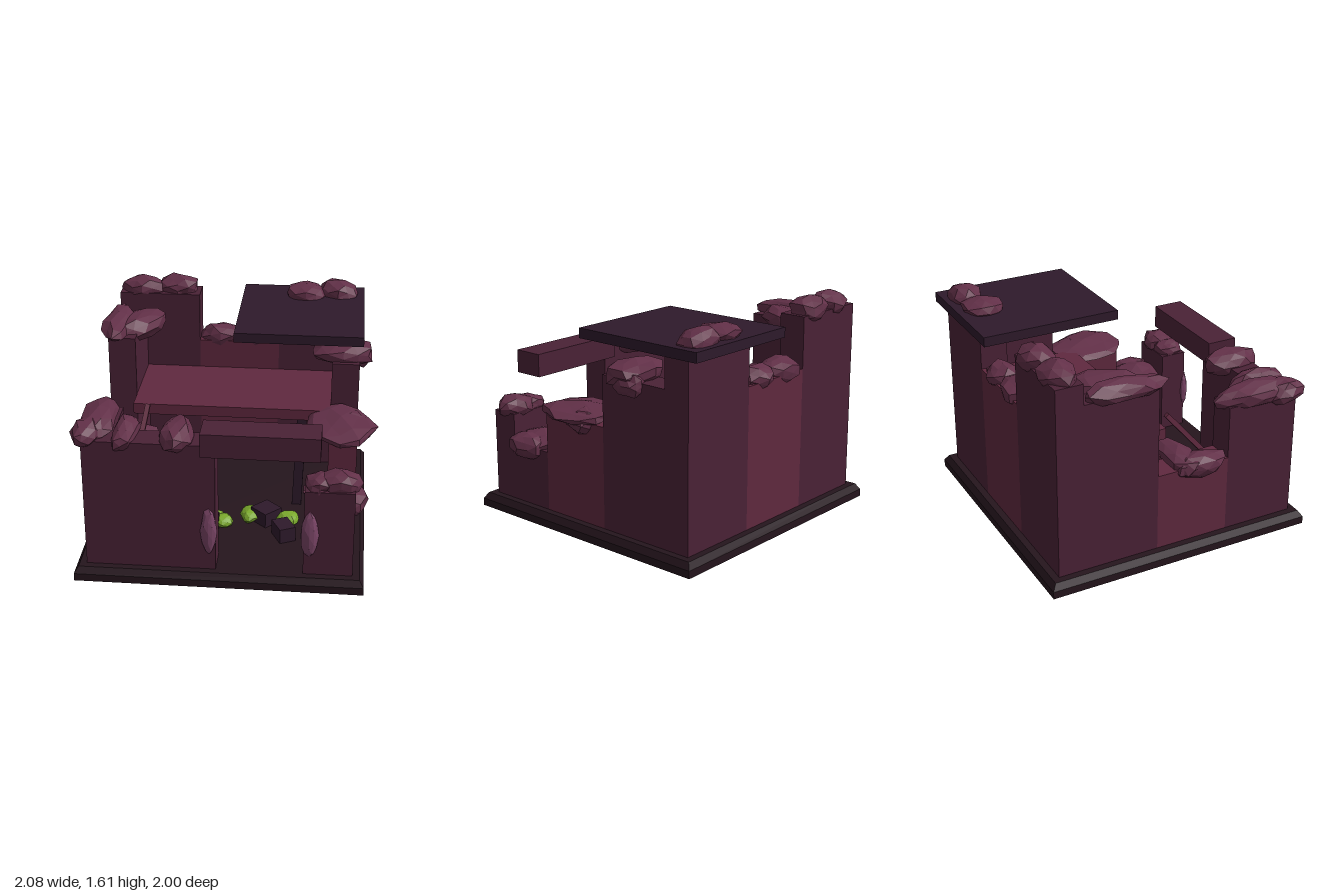
import * as THREE from 'three';

const mat = (color) => new THREE.MeshStandardMaterial({ color, flatShading: true });
const M = {
  wall: mat(0x4a2236), pale: mat(0x60293f), dark: mat(0x2e1a2b), base: mat(0x25151d),
  rubble: mat(0x623048), crystal: mat(0x7a4566), moss: mat(0x7aa82c),
};

export function createModel() {
  const model = new THREE.Group();
  const add = (name, geo, material, x = 0, y = 0, z = 0) => {
    const mesh = new THREE.Mesh(geo, material);
    mesh.name = name;
    mesh.position.set(x, y, z);
    model.add(mesh);
    return mesh;
  };

  // Block given by its x, y and z limits
  const block = (name, material, x0, x1, y0, y1, z0, z1) =>
    add(name, new THREE.BoxGeometry(x1 - x0, y1 - y0, z1 - z0), material,
      (x0 + x1) / 2, (y0 + y1) / 2, (z0 + z1) / 2);

  // Irregular faceted stone: a sphere whose corners are pushed in or out
  let seed = 1;
  const stone = (name, material, x, y, z, rx, ry, rz, turn = 0, rough = 0.28) => {
    const geo = new THREE.IcosahedronGeometry(1, 1);
    const p = geo.attributes.position, v = new THREE.Vector3();
    seed += 1;
    for (let i = 0; i < p.count; i++) {
      v.fromBufferAttribute(p, i);
      const n = Math.sin(Math.round(v.x * 50) * 12.9 + Math.round(v.y * 50) * 78.2
        + Math.round(v.z * 50) * 37.7 + seed * 4.1) * 43758.5;
      v.multiplyScalar(1.1 - rough * (n - Math.floor(n)));
      p.setXYZ(i, v.x * rx, v.y * ry, v.z * rz);
    }
    geo.computeVertexNormals();
    add(name, geo, material, x, y, z).rotation.y = turn;
  };

  // Square beam between two points
  const beam = (name, material, a, b, width) => {
    const from = new THREE.Vector3(...a), to = new THREE.Vector3(...b);
    const dir = to.clone().sub(from);
    const mid = from.add(to).multiplyScalar(0.5);
    const mesh = add(name, new THREE.BoxGeometry(width, dir.length(), width), material, mid.x, mid.y, mid.z);
    mesh.quaternion.setFromUnitVectors(new THREE.Vector3(0, 1, 0), dir.normalize());
  };

  // Base plate with a bevelled rim
  block('basePlate', M.base, -1, 1, 0, 0.055, -1, 1);
  const rim = new THREE.CylinderGeometry(0.97 * Math.SQRT2, Math.SQRT2, 0.045, 4);
  rim.rotateY(Math.PI / 4);
  add('baseRim', rim, M.base, 0, 0.0775, 0);

  // Broken walls, in sections of different height
  block('backWallLeft', M.wall, -0.92, -0.31, 0.1, 1.49, -0.92, -0.72);
  block('backWallMiddle', M.pale, -0.31, 0.3, 0.1, 1.12, -0.92, -0.72);
  block('backWallRight', M.wall, 0.3, 0.92, 0.1, 1.488, -0.92, -0.72);
  block('leftWallBack', M.wall, -0.92, -0.72, 0.1, 1.34, -0.72, -0.17);
  block('leftWallMiddle', M.pale, -0.92, -0.72, 0.1, 0.67, -0.17, 0.38);
  block('leftWallFront', M.wall, -0.92, -0.72, 0.1, 1.05, 0.38, 0.72);
  block('rightWallBack', M.wall, 0.72, 0.92, 0.1, 1.2, -0.72, -0.17);
  block('rightWallMiddle', M.pale, 0.72, 0.92, 0.1, 0.83, -0.17, 0.38);
  block('rightWallFront', M.wall, 0.72, 0.92, 0.1, 0.53, 0.38, 0.72);
  block('frontWall', M.wall, -0.92, -0.02, 0.1, 1.05, 0.72, 0.92);
  block('frontPillar', M.wall, 0.58, 0.92, 0.1, 0.74, 0.72, 0.92);
  block('lintel', M.wall, -0.12, 0.68, 0.97, 1.14, 0.705, 0.93);

  // Upper floor, roof remnant and stairs
  block('upperFloor', M.pale, -0.72, 0.72, 0.82, 0.9, -0.72, 0);
  block('roofSlab', M.dark, 0.02, 0.94, 1.42, 1.49, -1, 0.02);
  for (let i = 0; i < 3; i++) {
    block('stairStep', M.pale, -0.72, -0.41, 0.1, 0.64 - i * 0.18, i * 0.167, (i + 1) * 0.167);
  }
  beam('leaningPole', M.pale, [-0.7, 0.3, 0.6], [-0.6, 0.93, 0.07], 0.035);
  beam('floorPost', M.dark, [0.49, 0.1, -0.06], [0.515, 0.82, -0.06], 0.07);

  // Rubble along the wall tops: centre, radii, turn
  [
    [-0.75, 1.5, -0.82, 0.17, 0.1, 0.13], [-0.48, 1.51, -0.84, 0.16, 0.1, 0.13],
    [-0.15, 1.13, -0.83, 0.17, 0.1, 0.13], [0.12, 1.14, -0.83, 0.15, 0.09, 0.13],
    [0.5, 1.5, -0.82, 0.15, 0.09, 0.15], [0.74, 1.5, -0.85, 0.16, 0.1, 0.13],
    [-0.88, 1.37, -0.42, 0.12, 0.08, 0.32], [-0.72, 1.34, -0.48, 0.15, 0.1, 0.27, -0.45],
    [0.8, 1.23, -0.36, 0.24, 0.1, 0.2], [0.92, 1.18, -0.42, 0.09, 0.09, 0.13],
    [0.8, 0.86, 0.14, 0.25, 0.07, 0.31], [0.87, 0.82, 0.05, 0.13, 0.1, 0.14],
    [0.76, 0.54, 0.58, 0.23, 0.09, 0.2], [0.9, 0.53, 0.6, 0.11, 0.1, 0.17],
    [0.82, 0.77, 0.81, 0.14, 0.09, 0.12], [0.68, 0.76, 0.82, 0.11, 0.07, 0.11],
    [-0.84, 1.08, 0.62, 0.13, 0.09, 0.32], [-0.9, 1.07, 0.83, 0.1, 0.1, 0.17],
    [-0.64, 1.05, 0.78, 0.1, 0.1, 0.22], [-0.29, 1.06, 0.78, 0.12, 0.1, 0.21],
    [-0.76, 0.69, 0.07, 0.25, 0.08, 0.12], [-0.88, 0.67, 0.17, 0.12, 0.09, 0.22],
  ].forEach((r) => stone('rubble', M.rubble, ...r));

  // Crystals beside the doorway
  stone('crystal', M.crystal, -0.065, 0.4, 0.92, 0.055, 0.17, 0.04, 0, 0.15);
  stone('crystal', M.crystal, 0.62, 0.41, 0.92, 0.06, 0.17, 0.04, 0, 0.15);

  // Moss clumps and fallen blocks on the ground
  [
    [-0.12, 0.27, 0.09, 0.07], [-0.03, 0.33, 0.08, 0.07], [0.16, 0.22, 0.07, 0.11], [0.44, 0.25, 0.09, 0.08],
    [0.64, 0.21, 0.06, 0.05], [-0.55, 0.53, 0.11, 0.06], [-0.41, 0.52, 0.07, 0.1],
  ].forEach(([x, z, rx, rz]) => stone('moss', M.moss, x, 0.14, z, rx, 0.05, rz, 0, 0.2));
  [[-0.14, 0.42, 0.17, 0.17, 0], [0.28, 0.23, 0.16, 0.16, 0.8], [0.42, 0.45, 0.12, 0.16, 0.45]]
    .forEach(([x, z, w, d, turn]) => {
      add('fallenBlock', new THREE.BoxGeometry(w, 0.11, d), M.dark, x, 0.155, z).rotation.y = turn;
    });

  return model;
}
